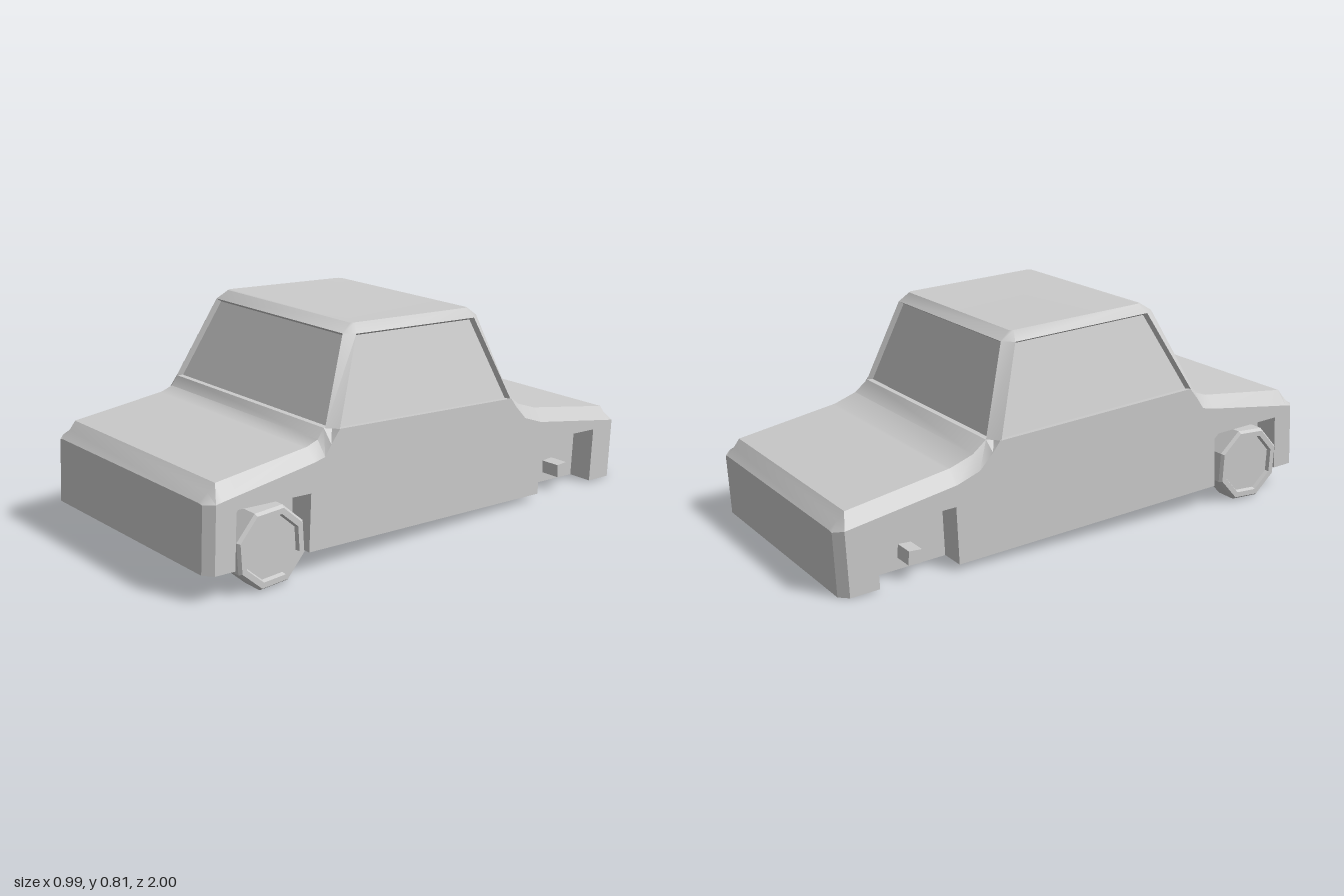
import * as THREE from 'three';
import { toCreasedNormals } from 'three/addons/utils/BufferGeometryUtils.js';

const V = (x, y, z) => new THREE.Vector3(x, y, z);

// Collects faces and turns them into one creased geometry
class Faces {
  constructor() { this.pos = []; }
  tri(a, b, c) {
    const area = b.clone().sub(a).cross(c.clone().sub(a)).length();
    if (area > 1e-7) for (const p of [a, b, c]) this.pos.push(p.x, p.y, p.z);
  }
  quad(a, b, c, d) { this.tri(a, b, c); this.tri(a, c, d); }
  fan(ring) { for (let i = 1; i < ring.length - 1; i++) this.tri(ring[0], ring[i], ring[i + 1]); }
  geometry() {
    const g = new THREE.BufferGeometry();
    g.setAttribute('position', new THREE.Float32BufferAttribute(this.pos, 3));
    g.computeVertexNormals();
    return toCreasedNormals(g, 0.6);
  }
}

// Body knots, front to back: z, half width, shoulder height, top half width, top height
const KNOTS = [
  [1.0, 0.45, 0.335, 0.43, 0.338],
  [0.97, 0.483, 0.338, 0.435, 0.367],
  [0.945, 0.483, 0.342, 0.44, 0.395],
  [0.575, 0.483, 0.392, 0.44, 0.436],
  [0.53, 0.483, 0.402, 0.44, 0.452],
  [0.505, 0.483, 0.44, 0.44, 0.487],
  [0.47, 0.483, 0.487, 0.44, 0.487],
  [-0.36, 0.483, 0.437, 0.44, 0.437],
  [-0.39, 0.483, 0.40, 0.44, 0.435],
  [-0.445, 0.483, 0.345, 0.44, 0.392],
  [-0.535, 0.483, 0.312, 0.44, 0.36],
  [-0.935, 0.483, 0.242, 0.44, 0.29],
  [-0.96, 0.483, 0.238, 0.435, 0.262],
  [-0.99, 0.45, 0.23, 0.43, 0.233],
];
// Wheel arches: front z, back z, height above the floor
const ARCHES = [[0.89, 0.585, 0.208], [-0.545, -0.85, 0.212]];
const ARCH_INNER = 0.385;
const floorY = (z) => 0.05 + 0.05 * z;

function knotAt(z) {
  let i = 0;
  while (i < KNOTS.length - 2 && z < KNOTS[i + 1][0]) i++;
  const a = KNOTS[i], b = KNOTS[i + 1], t = (z - a[0]) / (b[0] - a[0]);
  return a.map((v, k) => v + (b[k] - v) * t);
}

function bodySection(z, archHeight) {
  const [, w, ys, wi, yt] = knotAt(z), yb = floorY(z), ya = yb + archHeight;
  const inner = Math.min(ARCH_INNER, w);
  const half = [[inner, yb], [inner, ya], [w, ya], [w, ys], [wi, yt]];
  const ring = [...half, ...half.map(([x, y]) => [-x, y]).reverse()];
  return ring.map(([x, y]) => V(x, y, z - 0.05 * (y - yb)));
}

function bodyGeometry() {
  const stations = KNOTS.map((k) => {
    const arch = ARCHES.find(([f, b]) => k[0] < f && k[0] > b);
    return { z: k[0], h: arch ? arch[2] : 0, order: 0 };
  });
  // Doubled stations make the upright walls of the arches
  for (const [front, back, h] of ARCHES) {
    stations.push({ z: front, h: 0, order: 0 }, { z: front, h, order: 1 });
    stations.push({ z: back, h, order: 0 }, { z: back, h: 0, order: 1 });
  }
  stations.sort((a, b) => b.z - a.z || a.order - b.order);
  const rings = stations.map((s) => bodySection(s.z, s.h));
  const f = new Faces();
  for (let i = 0; i < rings.length - 1; i++) {
    const a = rings[i], b = rings[i + 1], n = a.length;
    for (let j = 0; j < n; j++) {
      const k = (j + 1) % n;
      f.quad(a[j], b[j], b[k], a[k]);
    }
  }
  f.fan(rings[0]);
  f.fan([...rings[rings.length - 1]].reverse());
  return f.geometry();
}

// Mirrors four corner points into an eight-sided ring
const cabinRing = (pts) => [
  ...pts.map((p) => V(...p)),
  ...pts.map(([x, y, z]) => V(-x, y, z)).reverse(),
];

function addCabin(car, mat) {
  const belt = cabinRing([[0.445, 0.487, 0.483], [0.483, 0.487, 0.45], [0.483, 0.437, -0.375], [0.44, 0.436, -0.41]]);
  const head = cabinRing([[0.37, 0.777, 0.343], [0.397, 0.775, 0.305], [0.395, 0.747, -0.262], [0.365, 0.748, -0.302]]);
  const roof = cabinRing([[0.355, 0.806, 0.3], [0.365, 0.806, 0.285], [0.365, 0.781, -0.25], [0.355, 0.78, -0.262]]);
  const names = { 1: 'leftWindow', 3: 'rearWindow', 5: 'rightWindow', 7: 'windshield' };
  const shell = new Faces();
  for (let i = 0; i < 8; i++) {
    const k = (i + 1) % 8;
    const q = [belt[i], belt[k], head[k], head[i]];
    shell.quad(head[i], head[k], roof[k], roof[i]);
    if (!names[i]) { shell.quad(...q); continue; }
    // Recessed pane with a sloped reveal around it
    const normal = q[1].clone().sub(q[0]).cross(q[3].clone().sub(q[0])).normalize();
    const centre = q.reduce((s, p) => s.add(p), V(0, 0, 0)).multiplyScalar(0.25);
    const pane = q.map((p) => p.clone().lerp(centre, 0.025).addScaledVector(normal, -0.018));
    for (let e = 0; e < 4; e++) {
      const g = (e + 1) % 4;
      shell.quad(q[e], q[g], pane[g], pane[e]);
    }
    const glass = new Faces();
    glass.quad(...pane);
    addMesh(car, names[i], glass.geometry(), mat);
  }
  shell.fan(roof);
  addMesh(car, 'cabin', shell.geometry(), mat);
}

function addMesh(parent, name, geometry, material) {
  const mesh = new THREE.Mesh(geometry, material);
  mesh.name = name;
  parent.add(mesh);
  return mesh;
}

export function createModel() {
  const car = new THREE.Group();
  car.name = 'car';
  const mat = new THREE.MeshStandardMaterial({ color: 0xcccccc });
  const flat = new THREE.MeshStandardMaterial({ color: 0xcccccc, flatShading: true });

  addMesh(car, 'body', bodyGeometry(), mat);
  addCabin(car, mat);

  // Octagonal front wheel with a dished hub, axle along x
  const profile = [[0, 0.395], [0.14, 0.395], [0.147, 0.402], [0.147, 0.482], [0.138, 0.494],
    [0.117, 0.494], [0.111, 0.48], [0, 0.48]].map(([r, x]) => new THREE.Vector2(r, x));
  const wheelGeo = new THREE.LatheGeometry(profile, 8).rotateY(Math.PI / 8).rotateZ(-Math.PI / 2);
  const stubGeo = new THREE.BoxGeometry(0.085, 0.05, 0.05);

  for (const [side, label] of [[1, 'left'], [-1, 'right']]) {
    const wheel = addMesh(car, label + 'FrontWheel', wheelGeo, flat);
    wheel.position.set(0, 0.14, 0.745);
    wheel.rotation.set(0.05, side > 0 ? 0 : Math.PI, 0);
    // Bare axle stubs
    for (const [end, y, z] of [['Front', 0.14, 0.745], ['Rear', 0.08, -0.705]]) {
      const stub = addMesh(car, label + end + 'Axle', stubGeo, flat);
      stub.position.set(side * 0.42, y, z);
      stub.rotation.x = 0.05;
    }
  }
  return car;
}
